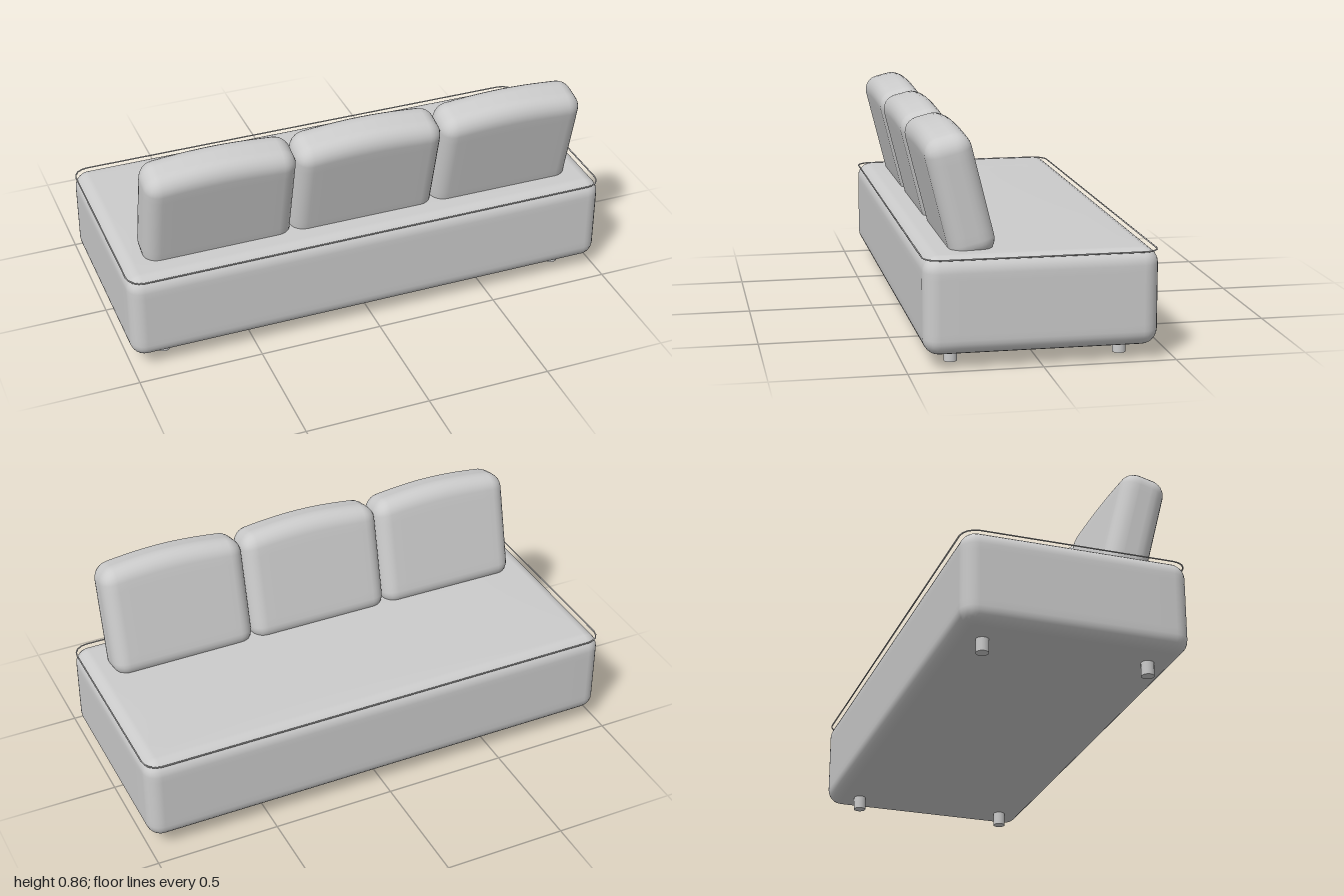
import * as THREE from 'three';
import { mergeVertices } from 'three/addons/utils/BufferGeometryUtils.js';

const material = new THREE.MeshStandardMaterial({ color: 0xcccccc });

// Upholstered block: box with rounded edges and a gently crowned top
function softBox(w, h, d, r, crown, k = 3, m = 10) {
  const n = 2 * k + m;
  const geo = new THREE.BoxGeometry(1, 1, 1, n, n, n);
  geo.deleteAttribute('uv');
  geo.deleteAttribute('normal');
  const pos = geo.attributes.position;
  const half = new THREE.Vector3(w / 2, h / 2, d / 2);
  const core = half.clone().subScalar(r);
  const low = core.clone().negate();

  // Grid lines gather in the rounded margins, the rest is spread evenly
  const place = (t, H) => {
    const i = Math.round((t + 0.5) * n) - n / 2;
    const a = Math.abs(i) - m / 2;
    if (a <= 0) return (i / (m / 2)) * (H - r);
    return Math.sign(i) * (H - r + r * Math.tan((Math.PI / 4) * (a / k)));
  };

  const p = new THREE.Vector3(), c = new THREE.Vector3();
  for (let i = 0; i < pos.count; i++) {
    p.set(place(pos.getX(i), half.x), place(pos.getY(i), half.y), place(pos.getZ(i), half.z));
    c.copy(p).clamp(low, core);
    p.sub(c).setLength(r).add(c);
    if (p.y > 0) p.y += crown(p.x / half.x, p.z / half.z) * (p.y / half.y);
    pos.setXYZ(i, p.x, p.y, p.z);
  }
  const merged = mergeVertices(geo, 1e-5);
  merged.computeVertexNormals();
  return merged;
}

// Closed rounded-rectangle cord lying flat
function pipingGeometry(hx, hz, r, thickness) {
  const points = [];
  [[1, 1], [-1, 1], [-1, -1], [1, -1]].forEach(([sx, sz], q) => {
    for (let j = 0; j <= 6; j++) {
      const a = (q + j / 6) * Math.PI / 2;
      points.push(new THREE.Vector3(
        sx * (hx - r) + r * Math.cos(a), 0, sz * (hz - r) + r * Math.sin(a)));
    }
  });
  const path = new THREE.CurvePath();
  points.forEach((p, i) => path.add(new THREE.LineCurve3(p, points[(i + 1) % points.length])));
  return new THREE.TubeGeometry(path, 240, thickness, 6, true);
}

export function createModel() {
  const model = new THREE.Group();
  model.name = 'sofa';
  const add = (name, geometry, x, y, z) => {
    const mesh = new THREE.Mesh(geometry, material);
    mesh.name = name;
    mesh.position.set(x, y, z);
    model.add(mesh);
    return mesh;
  };
  const bump = t => Math.cos(t * Math.PI / 2);

  // Seat block
  const seat = softBox(2, 0.368, 0.876, 0.06, (x, z) => 0.007 * bump(x) * bump(z));
  add('seatBase', seat, 0, 0.237, 0);

  // Cord around the top edge of the seat
  add('seatPiping', pipingGeometry(0.997, 0.436, 0.06, 0.003), 0, 0.412, 0);

  // Three leaning back cushions
  const cushion = softBox(0.6, 0.458, 0.177, 0.06, x => 0.024 * bump(x));
  [-0.6, 0, 0.6].forEach((x, i) => {
    add(`backCushion${i + 1}`, cushion, x, 0.61, 0.281).rotation.x = 0.244;
  });

  // Short round feet
  const foot = new THREE.CylinderGeometry(0.025, 0.025, 0.07, 16);
  for (const sx of [-1, 1]) for (const sz of [-1, 1]) {
    add('foot', foot, sx * 0.85, 0.035, sz * 0.32);
  }
  return model;
}
